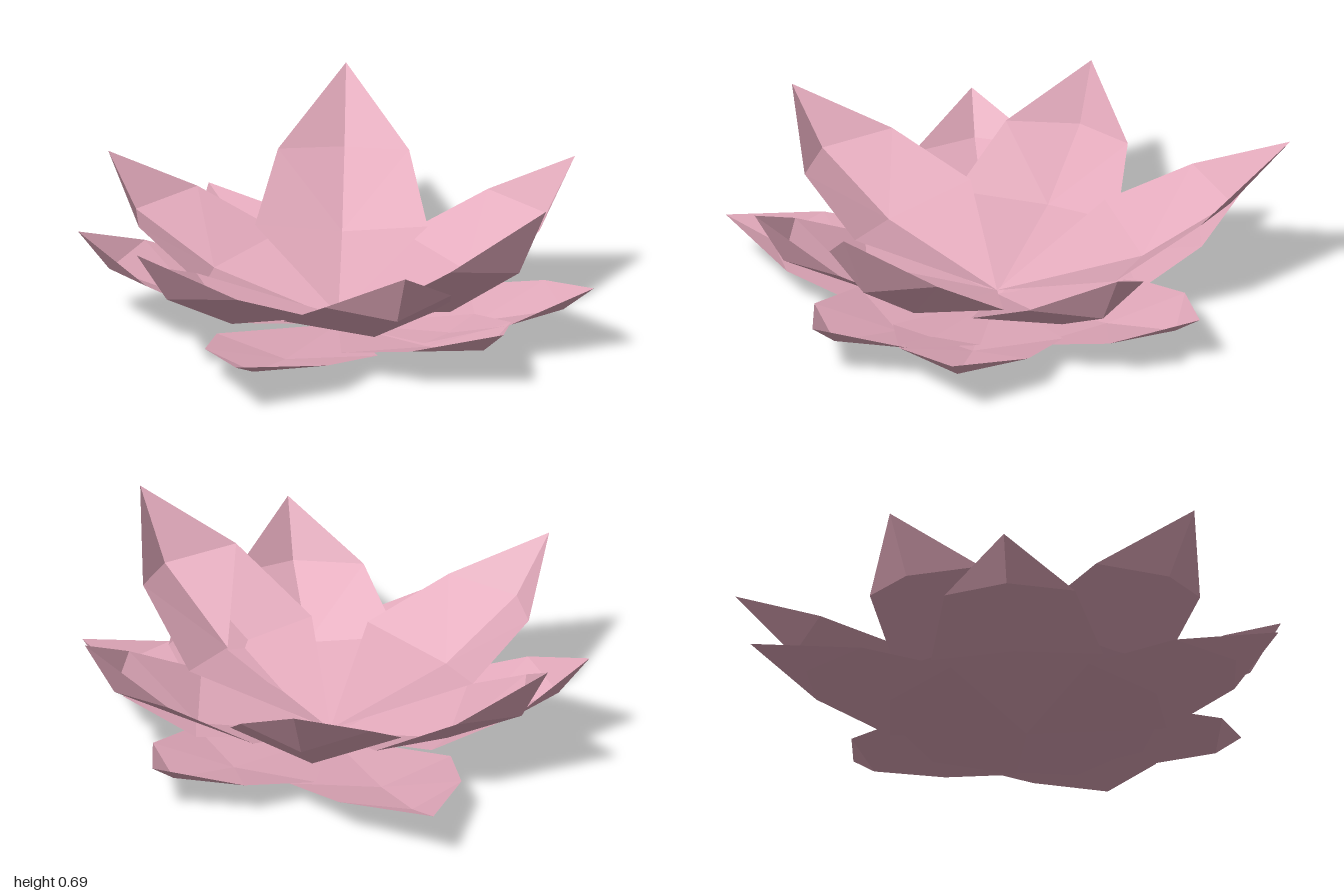
import * as THREE from 'three';

const CENTRE_Z = -0.05;

// One faceted, keel-shaped petal running from the flower's centre to its tip.
// Each side has a shoulder and a wide point; the keel has two bends.
function petalGeometry(x, y, z, baseY, shoulderY) {
  const dz = z - CENTRE_Z;
  const len = Math.hypot(x, dz);
  const s = Math.min(1, len);
  const ux = x / len, uz = dz / len;
  // t: distance from the centre, w: offset to the side, h: height
  const at = (t, w, h) => [ux * t - uz * w, h, CENTRE_Z + uz * t + ux * w];

  const base = at(0, 0, baseY);
  const keel1 = at(0.54 * s, 0, 0.26 * y);
  const keel2 = at(Math.min(0.87, 0.88 * len), 0, 0.6 * y);
  const tip = at(len, 0, y);
  const pos = [];
  for (const side of [-1, 1]) {
    const shoulder = at(0.42 * s, side * 0.32, shoulderY);
    const wide = at(0.74 * s, side * 0.243, 0.66 * y);
    const faces = [
      [base, shoulder, keel1], [shoulder, wide, keel1],
      [wide, keel2, keel1], [wide, tip, keel2],
    ];
    for (const [a, b, c] of faces) pos.push(...a, ...(side > 0 ? [...b, ...c] : [...c, ...b]));
  }
  const geo = new THREE.BufferGeometry();
  geo.setAttribute('position', new THREE.Float32BufferAttribute(pos, 3));
  geo.computeVertexNormals();
  return geo;
}

export function createModel() {
  const model = new THREE.Group();
  model.name = 'lotusFlower';
  const pink = new THREE.MeshStandardMaterial({ color: 0xe2a9bb, flatShading: true, side: THREE.DoubleSide });
  pink.name = 'petalPink';

  // Petal tips (x, y, z) in three whorls, from the upright heart outwards
  const whorls = [
    { name: 'innerPetal', base: 0.035, shoulder: (y) => 0.165 + 0.105 * y,
      tips: [[1.0, 0.685, -0.06], [-0.68, 0.625, -0.9], [-0.12, 0.535, 0.965]] },
    { name: 'middlePetal', base: 0.02, shoulder: (y) => 0.36 * y,
      tips: [[0.43, 0.525, -0.9], [-0.925, 0.525, 0.175], [0.785, 0.525, 0.495]] },
    { name: 'outerPetal', base: 0, shoulder: (y) => 0.34 * y,
      tips: [[0, 0.195, -0.97], [0.885, 0.235, -0.47], [0.945, 0.235, 0.12],
        [0.34, 0.195, 0.94], [-0.73, 0.37, 0.58], [-1.0, 0.19, -0.49]] },
  ];
  for (const whorl of whorls) {
    whorl.tips.forEach(([x, y, z], i) => {
      const petal = new THREE.Mesh(petalGeometry(x, y, z, whorl.base, whorl.shoulder(y)), pink);
      petal.name = whorl.name + (i + 1);
      model.add(petal);
    });
  }
  return model;
}
